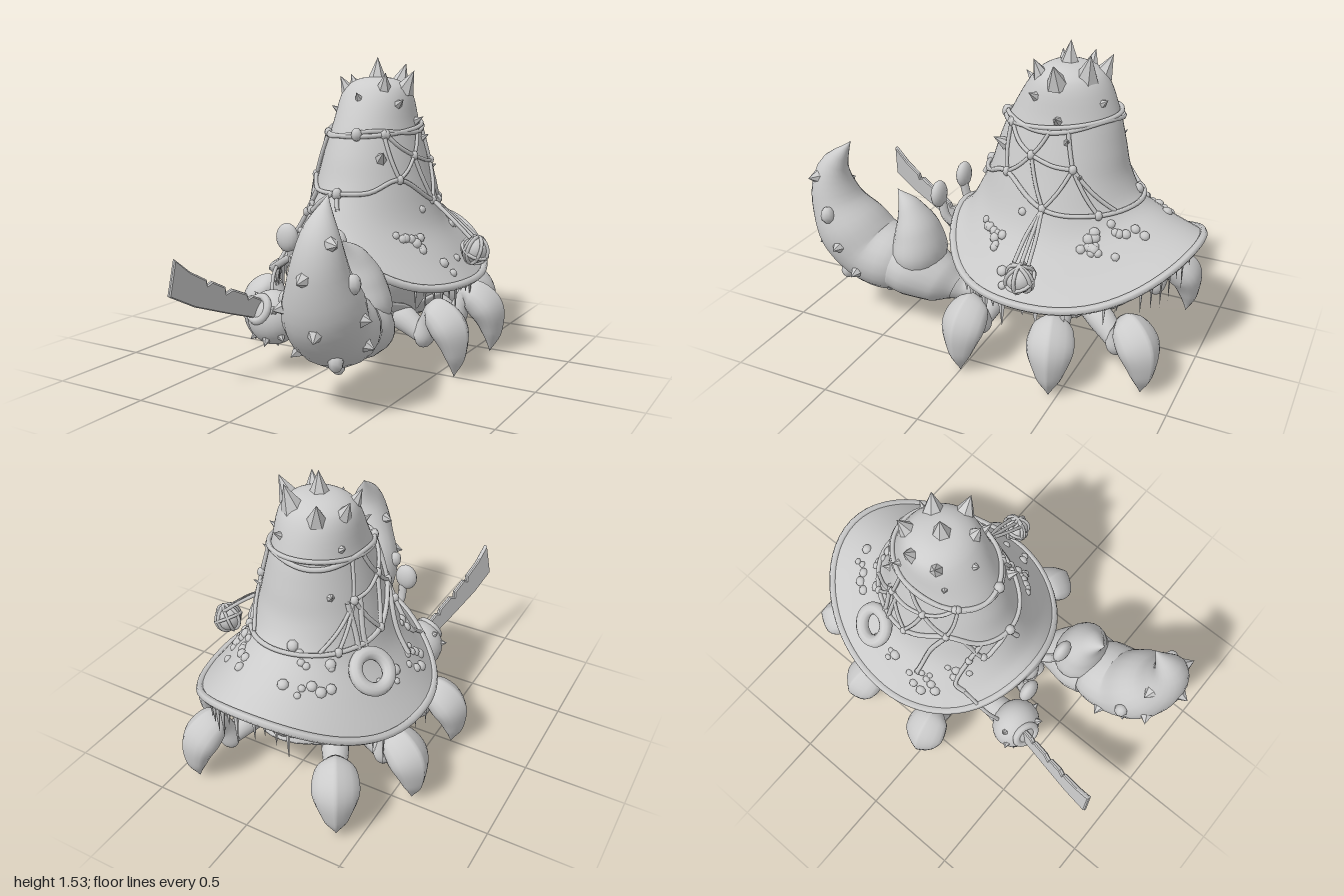
import * as THREE from 'three';

const V = (x, y, z) => new THREE.Vector3(x, y, z);
const mat = new THREE.MeshStandardMaterial({ color: 0xcccccc, side: THREE.DoubleSide });
const flat = new THREE.MeshStandardMaterial({ color: 0xcccccc, side: THREE.DoubleSide, flatShading: true });
const UP = V(0, 1, 0);

// Closed loops of points joined into a smooth skin
function skin(rows, cols, fn) {
  const pos = [], idx = [];
  for (let i = 0; i <= rows; i++)
    for (let j = 0; j < cols; j++) {
      pos.push(...fn(i / rows, j / cols * Math.PI * 2).toArray());
      if (i === rows) continue;
      const a = i * cols + j, b = i * cols + (j + 1) % cols;
      idx.push(a, b, a + cols, b, b + cols, a + cols);
    }
  const g = new THREE.BufferGeometry();
  g.setAttribute('position', new THREE.Float32BufferAttribute(pos, 3));
  g.setIndex(idx);
  g.computeVertexNormals();
  return g;
}

// Bell shell rings from rim to crown: half width, front z, back z, side y, extra y in front, extra y behind
const RINGS = [
  [.55, .27, -.97, .42, .19, .225], [.45, .2, -.8, .55, .13, .17], [.35, .135, -.67, .7, .1, .1],
  [.285, .085, -.605, .91, 0, 0], [.25, .04, -.575, 1.05, 0, 0], [.212, -.025, -.54, 1.2, 0, 0],
  [.172, -.13, -.465, 1.37, 0, 0], [.1, -.2, -.38, 1.42, 0, 0], [0, -.29, -.29, 1.435, 0, 0]];
const MID = -.29;
function bellColumn(a) {
  const c = Math.cos(a);
  return new THREE.CatmullRomCurve3(RINGS.map(([rx, zf, zb, y, yf, yb]) => V(rx * Math.sin(a),
    y + (c > 0 ? yf * c ** 5 : yb * (-c) ** 2.6), MID + (c > 0 ? zf - MID : MID - zb) * c)));
}
// Point on the shell at angle a (0 = front, toward +x) and height y, lifted off by off
function onBell(a, y, off = 0) {
  const col = bellColumn(a);
  let lo = 0, hi = 1;
  for (let i = 0; i < 16; i++) {
    const m = (lo + hi) / 2;
    if (col.getPoint(m).y < y) lo = m; else hi = m;
  }
  const p = col.getPoint(lo), t = col.getTangent(lo);
  const out = V(Math.sin(a), 0, Math.cos(a));
  const n = out.addScaledVector(t, -out.dot(t)).normalize();
  return { p: p.addScaledVector(n, off), n };
}

export function createModel() {
  const root = new THREE.Group();
  const add = (geo, name, p = V(0, 0, 0), m = mat) => {
    const mesh = new THREE.Mesh(geo, m);
    mesh.name = name; mesh.position.copy(p); root.add(mesh);
    return mesh;
  };
  const ball = (name, p, sx, sy = sx, sz = sx, seg = 16) => {
    const b = add(new THREE.SphereGeometry(1, seg, Math.ceil(seg * .7)), name, p);
    b.scale.set(sx, sy, sz);
    return b;
  };
  const spike = (p, n, r, h, name = 'spike') => {
    const s = add(new THREE.ConeGeometry(r, h, 6), name, p.clone().addScaledVector(n, h * .3), flat);
    s.quaternion.setFromUnitVectors(UP, n);
  };
  const tube = (name, pts, r, closed = false) => add(new THREE.TubeGeometry(
    new THREE.CatmullRomCurve3(pts, closed), closed ? 72 : 20, r, 6, closed), name);
  // Tapered, curved limb with oval cross-sections, pinched to a keel on the outer side if asked;
  // returns a function giving points on it
  const horn = (name, pts, radii, side, wide = 1, keel = 0) => {
    const curve = new THREE.CatmullRomCurve3(pts), S = side.clone().normalize(), k = radii.length - 1;
    const rad = new THREE.CatmullRomCurve3(radii.map((r, i) => V(r, i / k, 0)), false, 'catmullrom', .4);
    const at = (u, a) => {
      const N = curve.getTangent(u).cross(S).normalize(), c = Math.cos(a), s = Math.sin(a);
      const r = Math.max(0, rad.getPoint(u).x), w = c * Math.abs(c) ** (s > 0 ? keel : 0);
      return curve.getPoint(u).addScaledVector(S, w * r * wide).addScaledVector(N, s * r);
    };
    add(skin(24, 20, at), name);
    return (u, a) => ({ p: at(u, a), n: at(u, a).sub(curve.getPoint(u)).normalize() });
  };

  // Shell and rolled rim
  add(skin(40, 64, (u, a) => bellColumn(a).getPoint(u)), 'bellShell');
  const rim = [];
  for (let i = 0; i < 36; i++) rim.push(bellColumn(i / 36 * Math.PI * 2).getPoint(0));
  tube('shellRim', rim, .02, true);

  // Crown spikes, plus a few lower ones
  spike(V(0, 1.42, -.29), V(0, 1, -.05).normalize(), .06, .14);
  [[.7, 1.39, .09], [1.6, 1.38, .12], [2.6, 1.4, .13], [3.6, 1.38, .11], [4.4, 1.38, .09], [5.3, 1.38, .08],
    [0, 1.33, .05], [1.1, 1.3, .06], [1.7, 1.21, .06], [.7, 1.04, .08], [-.9, 1.27, .04], [2.7, 1.28, .05],
    [4.2, 1.24, .05], [3.9, 1.04, .05], [1.9, 1.12, .05], [2.1, .96, .05]].forEach(([a, y, h]) => {
    const { p, n } = onBell(a, y);
    spike(p, n.add(V(0, y > 1.36 ? .7 : .3, 0)).normalize(), h * .45, h);
  });

  // Ropes tied round the shell, net on both flanks, knots
  const rope = (pts, closed = false, r = .012) => {
    const c = new THREE.CatmullRomCurve3(pts.map(([a, y]) => V(a, y, 0)));
    const n = closed ? 48 : 10, out = [];
    for (let i = 0; i < n + (closed ? 0 : 1); i++) {
      const q = c.getPoint(i / n);
      out.push(onBell(q.x, q.y, .01).p);
    }
    tube('rope', out, r, closed);
  };
  const knot = (a, y, r = .02) => ball('knot', onBell(a, y, .012).p, r, r * 1.2, r, 8);
  const ringOf = f => Array.from({ length: 25 }, (_, i) => [i / 24 * Math.PI * 2, f(i / 24 * Math.PI * 2)]);
  rope(ringOf(a => 1.175 - .035 * Math.cos(a)), true);
  rope(ringOf(a => 1.17 - .02 * Math.cos(a) + .015 * Math.sin(3 * a)), true);
  const half = [[0, .865], [.5, .875], [1, .93], [1.6, .81], [2.3, .79]];
  rope([...half, [Math.PI, .8], ...half.slice(1).reverse().map(([a, y]) => [Math.PI * 2 - a, y]), [Math.PI * 2, .865]], true);
  knot(.2, 1.15, .028); knot(0, .865, .026);
  rope([[0, .86], [.03, .82], [.06, .79]]);
  for (const s of [1, -1]) {
    [[.75, 1.15, 1, .93], [1, .93, 1.35, 1.04], [.8, 1.15, 1.35, 1.04], [1.35, 1.04, 1.6, .81], [1.35, 1.04, 2, 1.0],
      [1.6, .81, 2, 1.0], [2, 1.0, 1.9, 1.18], [2, 1.0, 2.35, .79], [1.35, 1.04, 1.6, 1.17], [2, 1, 2.6, .8]]
      .forEach(([a, y, b, z]) => {
        rope([[s * a, y], [s * (a + b) / 2, (y + z) / 2 - .01], [s * b, z]], false, .01);
        knot(s * a, y);
      });
    knot(s * 1.6, .81); knot(s * 2.35, .79);
  }
  rope([[-.1, .865], [-.3, .82], [-.5, .77], [-.75, .91]]);
  rope([[-.5, .88], [-.7, .75], [-.85, .6], [-.75, .56]]);
  rope([[-1, .93], [-1.2, .78], [-1.3, .6]]);
  knot(-.5, .77); knot(-.7, .75);
  tube('hangingRope', [onBell(-.75, .56, .01).p, V(-.31, .45, .22), V(-.28, .35, .28)], .01);

  // Netted float hanging from the left flank
  const F = V(.56, .575, -.3);
  ball('float', F, .066);
  for (let i = 0; i < 5; i++) {
    const t = add(new THREE.TorusGeometry(.07, .009, 6, 20), 'floatNet', F);
    t.rotation.set(i * .9, i * 1.3, 0);
  }
  for (const d of [-.035, 0, .035])
    tube('floatRope', [onBell(1.6, .81, .01).p, V(.44, .73, -.3 + d * .7), V(.55, .64, -.3 + d)], .01);

  // Rope ring lying on the right flank
  const hoop = onBell(-2.0, .67, .045);
  const ring = add(new THREE.TorusGeometry(.085, .033, 10, 28), 'ropeRing', hoop.p);
  ring.quaternion.setFromUnitVectors(V(0, 0, 1), hoop.n.add(V(0, .3, 0)).normalize());
  for (const d of [-.12, .12]) rope([[-2 + d, 1.0], [-2 + d / 2, .85], [-2 + d / 2, .74]]);

  // Barnacle clusters
  let seed = 7;
  const rnd = () => (seed = (seed * 16807) % 2147483647) / 2147483647;
  [[1, .63, 9], [2.25, .68, 11], [2.6, .71, 6], [-2.6, .71, 9], [-1.2, .56, 9], [-1.75, .57, 5], [1.4, .5, 3], [1.2, .77, 1],
    [-2.9, .78, 3], [3.3, .68, 1], [-.85, .66, 4]].forEach(([a, y, n]) => {
    for (let i = 0; i < n; i++) {
      const b = onBell(a + (rnd() - .5) * .36, y + (rnd() - .5) * .1), r = .016 + rnd() * .012;
      ball('barnacle', b.p, r, r * .8, r, 8).quaternion.setFromUnitVectors(UP, b.n);
    }
  });

  // Weed dripping from the rim
  for (let i = 0; i < 46; i++) {
    const a = .9 + i / 45 * (Math.PI * 2 - 1.8), l = .05 + rnd() ** 2 * .2;
    const p = bellColumn(a).getPoint(0).multiply(V(.94, 1, .95));
    const w = add(new THREE.ConeGeometry(.022, l, 5), 'weed', p.add(V(0, -l / 2, 0)), flat);
    w.rotation.set(Math.PI, a, 0);
    w.scale.z = .4;
  }

  // Body with overlapping belly plates
  const C = V(0, .44, -.25), R = V(.38, .285, .46);
  ball('body', C, R.x, R.y, R.z, 32);
  for (let r = 0; r < 4; r++) {
    const n = [1, 5, 8, 10][r], th = [0, .45, .85, 1.25][r];
    for (let i = 0; i < n; i++) {
      const a = (i + r * .5) / n * Math.PI * 2;
      const d = V(Math.sin(th) * Math.sin(a), -Math.cos(th), Math.sin(th) * Math.cos(a));
      const p = ball('bellyPlate', C.clone().add(d.clone().multiply(R).multiplyScalar(.97)), .15, .025, .15, 14);
      p.quaternion.setFromUnitVectors(UP, d.divide(R).normalize().add(V(0, -.12, .1)).normalize());
    }
  }

  // Walking legs: root x/z to tip x/z, mirrored
  for (const s of [1, -1])
    for (const [x0, z0, x1, z1] of [[.2, -.05, .59, 0], [.2, -.36, .59, -.46], [.19, -.5, .39, -.84]]) {
      const L = (f, y) => V(s * (x0 + (x1 - x0) * f), y, z0 + (z1 - z0) * f);
      const side = V(z1 - z0, 0, -s * (x1 - x0));
      horn('upperLeg', [L(0, .28), L(.25, .25), L(.55, .18)], [.06, .065, .045], side);
      horn('legJoint', [L(.42, .16), L(.52, .17), L(.62, .25), L(.72, .31)], [0, .055, .05, .06], side);
      horn('legTip', [L(.6, .32), L(.75, .31), L(.94, .24), L(1.02, .12), L(1, .005)],
        [.03, .08, .092, .055, 0], side, 1.2, .9);
    }

  // Head, brow, stalked eyes and mouthparts
  ball('head', V(0, .46, .12), .17, .13, .15, 20);
  tube('brow', [V(-.11, .5, .24), V(-.09, .57, .26), V(0, .6, .275), V(.09, .57, .26), V(.11, .5, .24)], .02);
  ball('snout', V(0, .49, .24), .06, .065, .06);
  ball('snoutTip', V(0, .44, .27), .04, .035, .03);
  for (const s of [1, -1]) {
    tube('eyeStalk', [V(s * .06, .5, .2), V(s * .1, .51, .28), V(s * .12, .55, .32), V(s * .12, .64, .345)], .023);
    ball('eye', V(s * .135, .68, .35), .06, .07, .036);
    horn('mandible', [V(s * .05, .47, .25), V(s * .065, .42, .28), V(s * .03, .37, .29)], [.03, .022, 0], V(1, 0, 0));
    horn('cheek', [V(s * .06, .55, .2), V(s * .13, .49, .2), V(s * .15, .38, .15)], [.02, .04, .03], V(0, 0, 1));
  }

  // Great claw with arm, long finger, short finger and bumps
  const X = V(1, 0, 0);
  horn('greatArm', [V(.17, .3, 0), V(.2, .23, .14), V(.24, .25, .24)], [.08, .07, .09], X, 1.2);
  horn('greatWrist', [V(.25, .24, .19), V(.27, .27, .27), V(.28, .32, .4), V(.285, .34, .49)], [.07, .12, .155, .15], X, 1.15);
  const big = horn('greatClaw', [V(.285, .33, .4), V(.29, .345, .52), V(.3, .385, .66), V(.32, .5, .76), V(.345, .66, .83),
    V(.355, .82, .83), V(.33, .975, .73)], [.1, .165, .175, .175, .125, .08, 0], X, 1.08);
  horn('shortFinger', [V(.28, .3, .41), V(.28, .42, .39), V(.28, .54, .4), V(.28, .65, .44), V(.27, .735, .51)],
    [.1, .135, .11, .06, 0], X, 1.2);
  [[.5, -1.3], [.68, -1.6], [.35, -1.1], [.35, -2.2], [.55, -2.5], [.62, .2], [.45, 0], [.3, -.3], [.5, 3.1],
    [.3, 3.3], [.8, -.5], [.2, -1.6], [.72, 3]].forEach(([u, a], i) => {
    const { p, n } = big(u, a);
    if (i % 3 < 2) spike(p, n, .035, .05, 'clawSpike');
    else ball('clawBump', p, .035, .045, .035, 8);
  });

  // Small claw: spiked ball with a socket
  const B = V(-.22, .275, .35);
  horn('smallArm', [V(-.15, .32, 0), V(-.2, .24, .13), V(-.22, .26, .3)], [.07, .065, .08], X);
  ball('smallClaw', B, .135, .135, .12, 24);
  [[-1, .2, .3], [1, .3, .2], [.7, -.6, .5], [-.6, -.7, .4], [.1, -.8, .7], [.5, .5, .7], [-.7, .7, 0], [.9, -.1, -.4],
    [0, -1, -.2]].forEach(v => {
    const n = V(...v).normalize();
    spike(B.clone().addScaledVector(n, .122), n, .028, .05, 'clawSpike');
  });

  // Notched cutlass held in the socket
  const dir = V(-.13, .24, .52).normalize(), z = dir.clone().cross(V(.25, .9, -.42)).normalize();
  const hilt = V(-.24, .32, .41);
  const socket = add(new THREE.TorusGeometry(.06, .02, 8, 20), 'socket', hilt.clone().addScaledVector(dir, .03));
  socket.quaternion.setFromUnitVectors(V(0, 0, 1), dir);
  const outline = [[0, -.04], [.2, -.06], [.4, -.075], [.55, -.065], [.6, .09], [.5, .06], [.4, .05], [.38, .025],
    [.36, .05], [.28, .045], [.26, .015], [.23, .045], [.14, .045], [.12, .025], [.1, .045], [0, .04]];
  const blade = add(new THREE.ExtrudeGeometry(new THREE.Shape(outline.map(p => new THREE.Vector2(...p))),
    { depth: .012, bevelEnabled: true, bevelSize: .006, bevelThickness: .006, bevelSegments: 1 }), 'blade', hilt, flat);
  blade.quaternion.setFromRotationMatrix(new THREE.Matrix4().makeBasis(dir, z.clone().cross(dir), z));

  return root;
}
